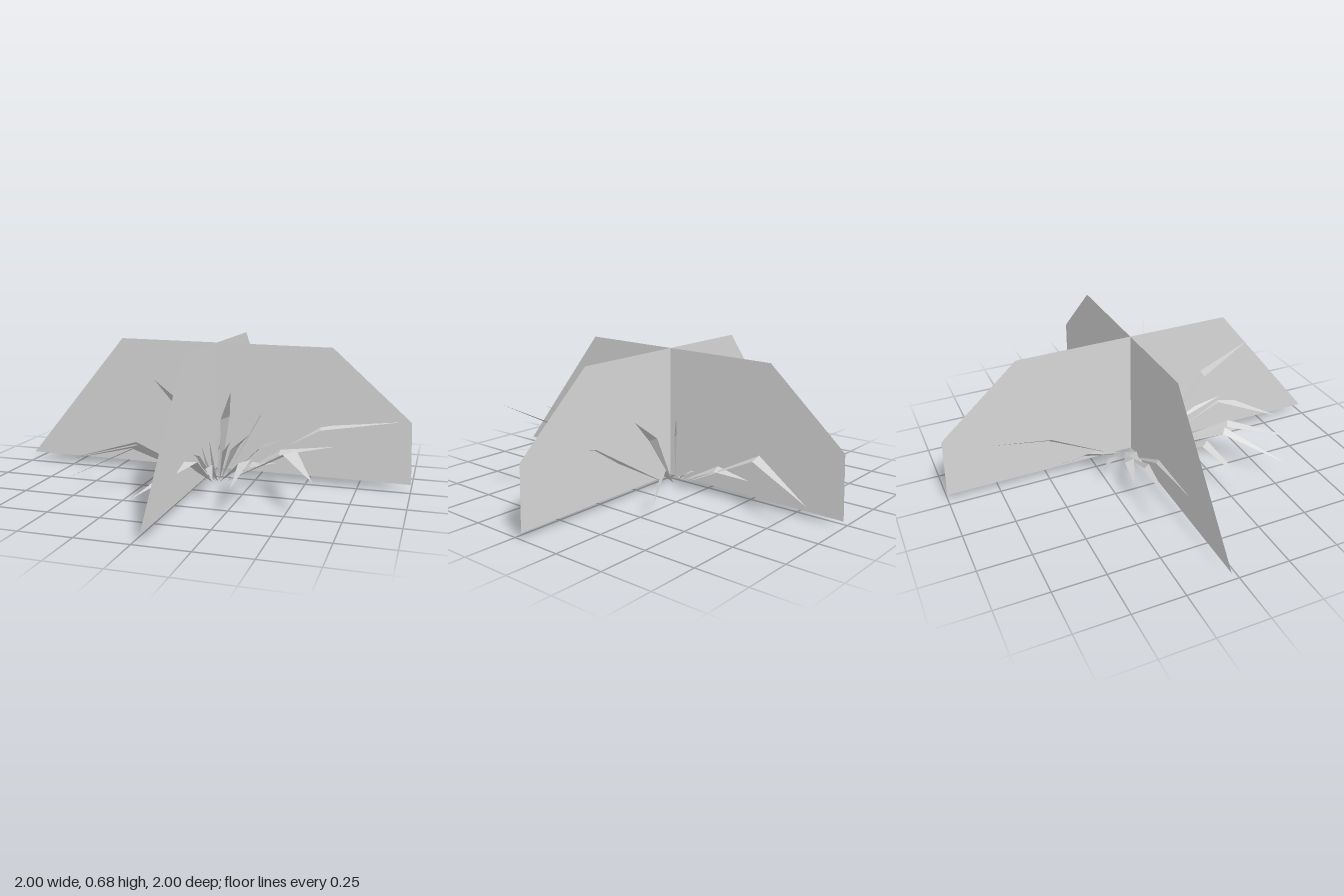
import * as THREE from 'three';

const grey = new THREE.MeshStandardMaterial({ color: 0xd6d6d6, side: THREE.DoubleSide, flatShading: true });
grey.name = 'paleGrey';

// Large upright card, cut off at the upper corners
function makeCard(name) {
  const outline = [[-1, 0.04], [1, 0.03], [0.99, 0.33], [0.61, 0.67], [-0.47, 0.68]];
  const shape = new THREE.Shape(outline.map(([x, y]) => new THREE.Vector2(x, y)));
  const card = new THREE.Mesh(new THREE.ShapeGeometry(shape), grey);
  card.name = name;
  return card;
}

// Folded blade with pointed ends: rises from the root, bends where it is widest,
// bowed to one side, then runs out to the tip. Narrow blades stand more on edge.
function makeBlade(root, tip, width, bow) {
  const run = tip.clone().sub(root);
  const reach = Math.hypot(run.x, run.z);
  const side = new THREE.Vector3(-run.z, 0, run.x).normalize();
  const rise = Math.max(0.25 * reach + 0.15 * tip.y, 0.7 * tip.y);
  const base = root.clone().lerp(tip, 0.08).setY(root.y);
  const bend = root.clone().lerp(tip, 0.57).setY(rise).addScaledVector(side, bow);
  const roll = Math.max(0.1, 1 - width * 12);
  const half = side.applyAxisAngle(run.normalize(), roll).multiplyScalar(width / 2);
  const corners = [base, bend.clone().sub(half), bend.clone().add(half), tip];
  const geometry = new THREE.BufferGeometry().setFromPoints(corners);
  geometry.setIndex([0, 1, 2, 1, 3, 2]);
  geometry.computeVertexNormals();
  const blade = new THREE.Mesh(geometry, grey);
  blade.name = 'blade';
  return blade;
}

// Blades that share one root; each is given as tip x, y, z, width and sideways bow
function makeTuft(name, root, blades) {
  const tuft = new THREE.Group();
  tuft.name = name;
  for (const [x, y, z, width, bow = 0] of blades) {
    tuft.add(makeBlade(root, new THREE.Vector3(x, y, z), width, bow));
  }
  return tuft;
}

export function createModel() {
  const model = new THREE.Group();
  model.name = 'grassClump';

  // Two crossed cards, meeting slightly off centre
  const wideCard = makeCard('wideCard');
  wideCard.position.z = -0.04;
  const deepCard = makeCard('deepCard');
  deepCard.rotation.y = Math.PI / 2;
  deepCard.position.x = 0.037;
  // The sloping end of the deep card faces the front
  deepCard.rotation.y = -Math.PI / 2;
  model.add(wideCard, deepCard);
  deepCard.rotation.y = Math.PI / 2;

  // Blades leaning to the front
  model.add(makeTuft('frontBlades', new THREE.Vector3(0.07, 0, 0.04), [
    [-0.6, 0.12, 0.28, 0.04, -0.03],
    [-0.45, 0.21, 0.62, 0.04],
    [-0.5, 0.1, 0.56, 0.04],
    [-0.06, 0.58, 0.57, 0.04],
    [-0.1, 0.1, 0.76, 0.09, -0.09],
    [0.31, 0.16, 0.68, 0.06, -0.09],
    [0.29, 0.34, 0.6, 0.03],
    [0.63, 0.18, 0.56, 0.08, -0.12],
    [0.53, 0.38, 0.65, 0.04, -0.04],
    [0.67, 0.25, 0.2, 0.04, 0.03],
    [0.21, 0.5, 0.32, 0.05],
    [0.49, 0.52, 0.24, 0.02],
    [0.18, 0.13, 0.5, 0.04, 0.03],
    [0.01, 0.24, 0.46, 0.03],
    [0.39, 0.14, 0.16, 0.04],
    [0.27, 0.28, 0.22, 0.06],
    [-0.02, 0.28, 0.1, 0.05],
    [0.12, 0.25, 0.14, 0.04],
  ]));

  // Blades leaning to the back and sides
  model.add(makeTuft('backBlades', new THREE.Vector3(0.05, 0.02, -0.08), [
    [0.24, 0.14, -0.93, 0.05, -0.07],
    [-0.04, 0.3, -0.79, 0.03],
    [-0.27, 0.26, -0.56, 0.03],
    [-0.39, 0.14, -0.21, 0.05],
    [-0.23, 0.14, -0.3, 0.05],
    [-0.07, 0.13, -0.34, 0.07],
    [-0.19, 0.12, -0.1, 0.06],
    [0.12, 0.12, -0.26, 0.06],
    [0.08, 0.12, -0.54, 0.04],
    [0.61, 0.13, -0.42, 0.03],
    [0.41, 0.46, -0.38, 0.015],
    [0.42, 0.4, -0.15, 0.04],
    [0.95, 0.34, 0, 0.03],
    [-0.73, 0.2, -0.17, 0.03, 0.02],
    [-0.71, 0.26, -0.1, 0.02],
  ]));
  return model;
}
